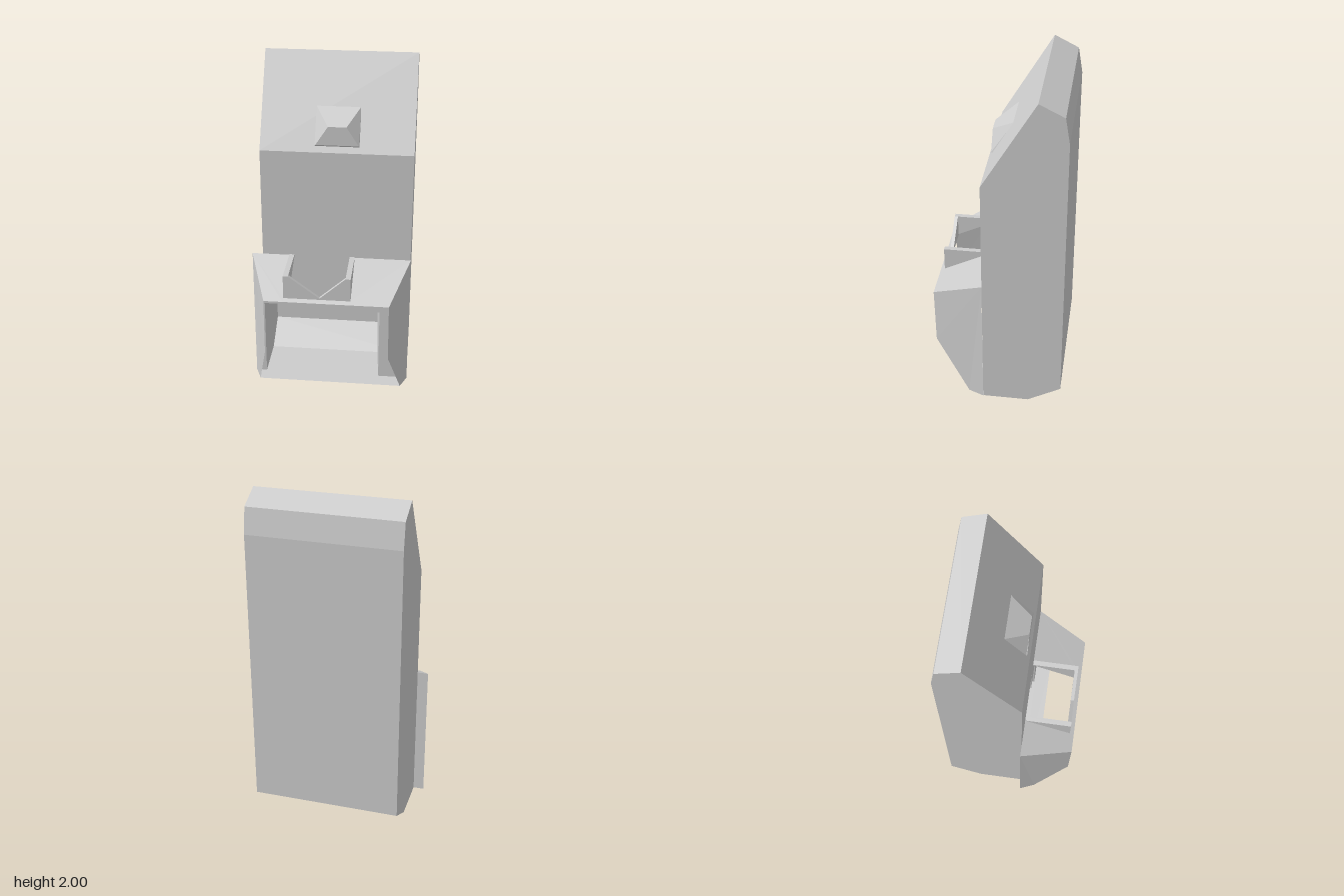
import * as THREE from 'three';

const material = new THREE.MeshStandardMaterial({
  color: 0xcccccc, flatShading: true, side: THREE.DoubleSide,
});

// One mesh from flat convex polygons, each a loop of [x, y, z] corners
function panels(name, polygons) {
  const pos = [];
  for (const p of polygons)
    for (let i = 1; i < p.length - 1; i++) pos.push(...p[0], ...p[i], ...p[i + 1]);
  const geo = new THREE.BufferGeometry();
  geo.setAttribute('position', new THREE.Float32BufferAttribute(pos, 3));
  geo.computeVertexNormals();
  const mesh = new THREE.Mesh(geo, material);
  mesh.name = name;
  return mesh;
}

// A [z, y] profile placed at a given x, and the strip joining two x positions
const at = (x, profile) => profile.map(([z, y]) => [x, y, z]);
const strip = (x0, x1, [za, ya], [zb, yb]) =>
  [[x0, ya, za], [x1, ya, za], [x1, yb, zb], [x0, yb, zb]];

// A solid extruded along z from an [x, y] outline
function plate(name, outline, z, depth) {
  const shape = new THREE.Shape(outline.map(([x, y]) => new THREE.Vector2(x, y)));
  const geo = new THREE.ExtrudeGeometry(shape, { depth, bevelEnabled: false });
  const mesh = new THREE.Mesh(geo, material);
  mesh.position.z = z;
  mesh.name = name;
  return mesh;
}

// A solid extruded along x from a [z, y] profile
function prism(name, profile, x, width) {
  const mesh = plate(name, profile.map(([z, y]) => [-z, y]), 0, width);
  mesh.rotation.y = Math.PI / 2;
  mesh.position.x = x;
  return mesh;
}

export function createModel() {
  const model = new THREE.Group();
  const L = -0.41, R = 0.47, F = 0.083;

  // Tall hollow body, open at the lower front
  const profile = [[F, 0.83], [F, 1.49], [-0.22, 2], [-0.36, 1.93],
    [-0.385, 1.78], [-0.385, 0.11], [-0.19, 0], [F, 0]];
  const shell = [at(L, profile), at(R, profile)];
  for (let i = 0; i < profile.length - 1; i++)
    shell.push(strip(L, R, profile[i], profile[i + 1]));
  model.add(panels('bodyShell', shell));

  // Knob on the sloping face: four base corners and four raised corners
  const base = [[-0.1, 1.725, -0.06], [0.16, 1.725, -0.06], [0.16, 1.52, 0.062], [-0.1, 1.52, 0.062]];
  const cap = [[-0.02, 1.64, 0.068], [0.085, 1.64, 0.068], [0.155, 1.53, 0.068], [-0.092, 1.53, 0.068]];
  model.add(panels('knob', [cap, ...base.map((b, i) => {
    const j = (i + 1) % 4;
    return [b, base[j], cap[j], cap[i]];
  })]));

  // Flared hood sides, narrowing toward the front
  const hoodSides = [-1, 1].map((s) => [
    [s * 0.473, 0.83, F], [s * 0.362, 0.68, 0.385], [s * 0.364, 0.33, 0.38],
    [s * 0.435, 0, 0.175], [s * 0.473, 0, F]]);
  model.add(panels('hoodSides', hoodSides));

  // Narrow rear plate closing the step beside the body
  model.add(panels('hoodStep', [[[-0.473, 0, F], [L, 0, F], [L, 0.83, F], [-0.473, 0.83, F]]]));

  // Floor under the hood
  model.add(panels('hoodFloor', [
    [[-0.473, 0, F], [0.473, 0, F], [0.435, 0, 0.175], [-0.435, 0, 0.175]]]));

  // Sloping hood top around a rectangular hole, with a thin front rim
  const a = -0.25, b = 0.14, zh = 0.36, yh = 0.692;
  model.add(panels('hoodTop', [
    [[-0.473, 0.83, F], [a, 0.83, F], [a, yh, zh], [a, 0.68, 0.385], [-0.362, 0.68, 0.385]],
    [[0.473, 0.83, F], [b, 0.83, F], [b, yh, zh], [b, 0.68, 0.385], [0.362, 0.68, 0.385]],
    [[a, yh, zh], [b, yh, zh], [b, 0.68, 0.385], [a, 0.68, 0.385]],
    strip(-0.362, 0.362, [0.385, 0.68], [0.385, 0.667]),
  ]));

  // Notched spout frame: two wedge cheeks and a front plate with a V cut
  const wedge = [[F, 0.834], [F, 0.826], [zh, yh], [zh, 0.834]];
  model.add(prism('spoutCheekRight', wedge, a, 0.03));
  model.add(prism('spoutCheekLeft', wedge, b - 0.03, 0.03));
  model.add(plate('spoutNotch',
    [[a, yh], [b, yh], [b, 0.834], [0.11, 0.834], [-0.04, 0.7], [-0.22, 0.834], [a, 0.834]],
    0.34, 0.02));

  // Inner block and post beside the cavity
  const zf = F - 0.004, zb = -0.383, xr = R - 0.003;
  model.add(panels('innerBlock', [
    [[0.09, 0.457, zf], [xr, 0.465, zf], [xr, 0.83, zf], [0.09, 0.83, zf]],
    [[0.09, 0.457, zf], [0.09, 0.83, zf], [0.07, 0.83, zb], [0.07, 0.47, zb]],
    [[0.09, 0.457, zf], [xr, 0.465, zf], [xr, 0.47, zb], [0.07, 0.47, zb]],
  ]));
  model.add(panels('innerPost', [
    [[0.295, 0, zf], [xr, 0, zf], [xr, 0.465, zf], [0.295, 0.465, zf]],
    [[0.295, 0.465, zf], [0.295, 0, zf], [0.275, 0, -0.19], [0.26, 0.11, zb], [0.26, 0.47, zb]],
  ]));

  return model;
}
